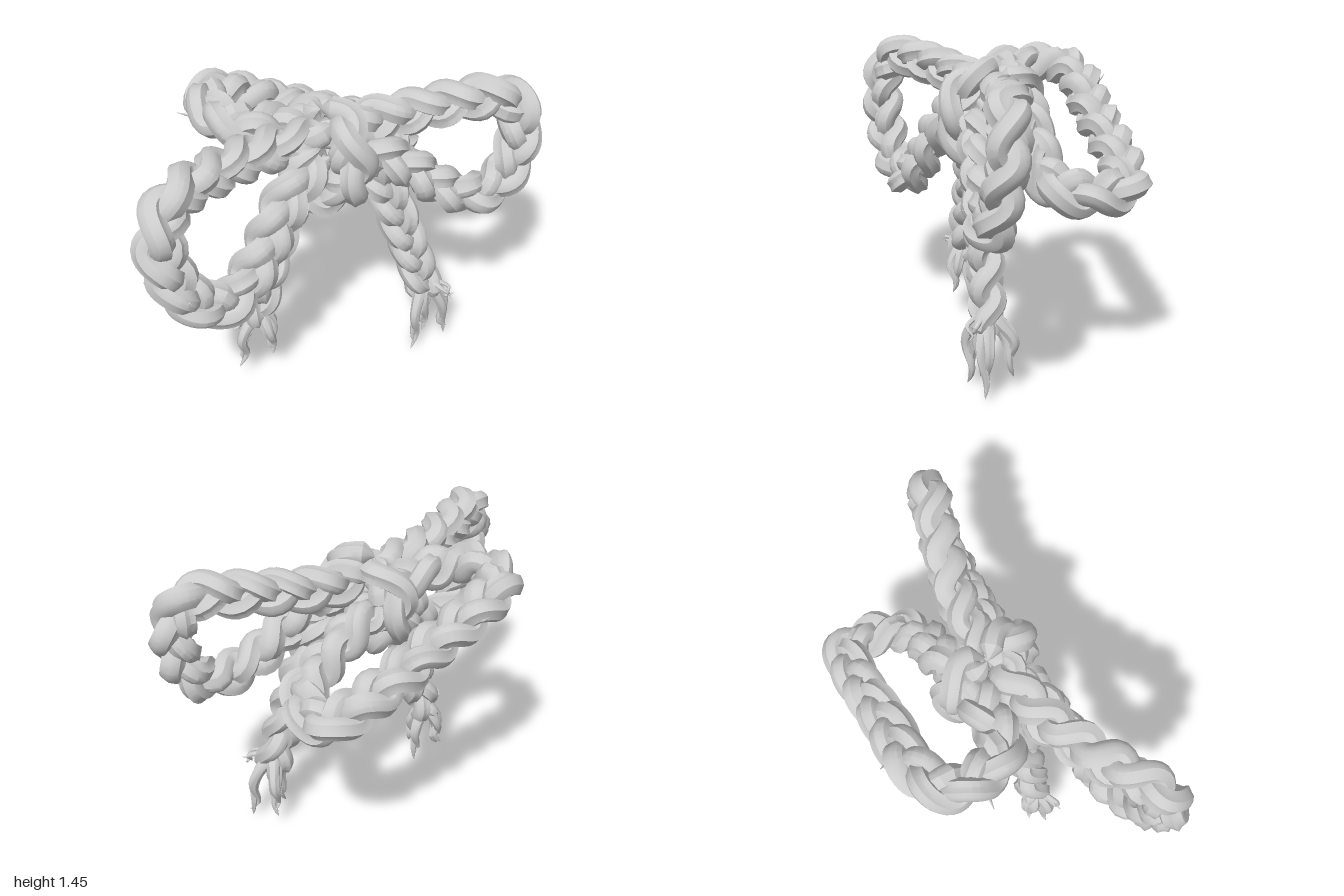
import * as THREE from 'three';
import { toCreasedNormals } from 'three/addons/utils/BufferGeometryUtils.js';

const material = new THREE.MeshStandardMaterial({ color: 0xcccccc, side: THREE.DoubleSide });
const SIDES = 14;
const V = (p) => new THREE.Vector3(...p);
const path = (pts, closed = false) =>
  new THREE.CatmullRomCurve3(pts.map(V), closed, 'centripetal');

// Tube with lengthwise ribs; radiusAt(t) sets its thickness along the path
function fibre(name, curve, steps, radiusAt, seed = 0) {
  const geo = new THREE.TubeGeometry(curve, steps, 1, SIDES, false);
  const pos = geo.attributes.position, nor = geo.attributes.normal;
  const dir = new THREE.Vector3();
  for (let j = 0; j <= steps; j++) {
    const t = j / steps, c = curve.getPointAt(t), r = radiusAt(t);
    for (let i = 0; i <= SIDES; i++) {
      const k = j * (SIDES + 1) + i, m = i % SIDES;
      const rib = (m % 2 ? 1.06 : 0.95) + 0.07 * Math.sin(m * 2.3 + seed + t * 9);
      dir.fromBufferAttribute(nor, k).multiplyScalar(r * rib).add(c);
      pos.setXYZ(k, dir.x, dir.y, dir.z);
    }
  }
  geo.computeVertexNormals();
  const mesh = new THREE.Mesh(toCreasedNormals(geo, 0.5), material);
  mesh.name = name;
  return mesh;
}

// Three strands plaited around a guide path
function braid(name, guide, { size = 0.97, endSize = size, pitch = 0.48 } = {}) {
  const group = new THREE.Group();
  group.name = name;
  const length = guide.getLength();
  const n = Math.ceil(length * 50);
  const turns = guide.closed ? Math.round(length / pitch) : length / pitch;
  const frames = guide.computeFrenetFrames(n, guide.closed);
  for (let s = 0; s < 3; s++) {
    const pts = [];
    for (let i = 0; i <= n; i++) {
      const t = i / n, k = THREE.MathUtils.lerp(size, endSize, t);
      const a = 2 * Math.PI * (turns * t + s / 3);
      pts.push(guide.getPointAt(t)
        .addScaledVector(frames.binormals[i], 0.055 * k * Math.sin(a))
        .addScaledVector(frames.normals[i], 0.042 * k * Math.sin(2 * a)));
    }
    const taper = (t) => Math.min(1, t * 25 + 0.02, (1 - t) * 25 + 0.02);
    group.add(fibre('strand', new THREE.CatmullRomCurve3(pts), Math.ceil(length * 65),
      (t) => 0.053 * THREE.MathUtils.lerp(size, endSize, t) * taper(t), s * 2));
  }
  return group;
}

// Loose tufts spreading from the end of a tail, each of two twisted points
function frayedEnd(start, tips) {
  const group = new THREE.Group();
  group.name = 'frayedEnd';
  const a = V(start);
  tips.forEach(([x, y, z, r = 0.034], i) => {
    const b = new THREE.Vector3(x, y, z);
    for (const side of [-1, 1]) {
      const bend = a.clone().lerp(b, 0.45);
      bend.x += (b.x - a.x) * 0.35 + side * 0.015;
      bend.z += (b.z - a.z) * 0.4 - side * 0.015;
      const kink = a.clone().lerp(b, 0.8);
      kink.x -= side * 0.012;
      const tip = b.clone().add(new THREE.Vector3(side * 0.008, side > 0 ? 0.04 : 0, 0));
      const curve = new THREE.CatmullRomCurve3([a, bend, kink, tip]);
      group.add(fibre('tuft', curve, 14,
        (t) => r * Math.min(1, 0.3 + t * 4) * Math.pow(1 - t, 0.6) + 0.001, i + side));
    }
  });
  return group;
}

export function createModel() {
  const model = new THREE.Group();
  model.name = 'braidedRopeBow';

  // Front bow loops
  model.add(braid('rightLoop', path([
    [0.02, 1.27, 0.12], [-0.3, 1.29, 0.14], [-0.6, 1.32, 0.26], [-0.83, 1.32, 0.39],
    [-0.9, 1.2, 0.44], [-0.86, 0.98, 0.44], [-0.76, 0.8, 0.42], [-0.6, 0.73, 0.38],
    [-0.45, 0.85, 0.33], [-0.3, 1.06, 0.26], [-0.08, 1.25, 0.17]])));
  model.add(braid('leftLoop', path([
    [-0.02, 1.27, 0.08], [0.3, 1.29, 0.1], [0.6, 1.33, 0.17], [0.8, 1.34, 0.23],
    [0.88, 1.24, 0.25], [0.87, 1.07, 0.27], [0.8, 0.92, 0.28], [0.68, 0.87, 0.28],
    [0.5, 0.94, 0.25], [0.3, 1.1, 0.21], [0.06, 1.22, 0.15]])));

  // Slanted ring at the back
  model.add(braid('backLoop', path([
    [0.02, 1.24, 0], [-0.18, 1.28, -0.05], [-0.38, 1.31, -0.06], [-0.44, 1.32, -0.16],
    [-0.43, 1.32, -0.35], [-0.3, 1.29, -0.42], [0, 1.15, -0.42], [0.38, 0.98, -0.42],
    [0.51, 0.92, -0.38], [0.49, 0.91, -0.15], [0.4, 0.94, -0.07], [0.17, 1.12, -0.06],
    [0, 1.22, -0.03]])));

  // Knot: a braid wrapped diagonally around the crossing, with a loose flap below
  const knot = new THREE.Group();
  knot.name = 'knot';
  knot.add(braid('knotWrap', path([
    [0.0, 1.33, 0.06], [0.03, 1.32, 0.19], [0.04, 1.2, 0.25], [0.04, 1.06, 0.22],
    [0.0, 1.0, 0.1], [-0.03, 1.07, -0.06], [-0.03, 1.24, -0.1]], true)));
  knot.add(fibre('knotFlap', path([
    [0.08, 1.08, 0.12], [0.02, 0.97, 0.15], [-0.05, 0.92, 0.14], [-0.13, 0.98, 0.12],
    [-0.12, 1.08, 0.1]]), 16, (t) => 0.045 * Math.sin(Math.PI * t) + 0.008));
  model.add(knot);

  // Hanging tails with frayed ends
  const rightTail = new THREE.Group();
  rightTail.name = 'rightTail';
  rightTail.add(braid('tailBraid', path([
    [-0.05, 1.2, 0.1], [-0.2, 1.0, 0.12], [-0.29, 0.74, 0.12], [-0.36, 0.5, 0.13],
    [-0.41, 0.32, 0.13]]), { endSize: 0.78 }));
  rightTail.add(frayedEnd([-0.39, 0.42, 0.13], [
    [-0.5, 0.1, 0.16], [-0.46, 0.17, 0.08], [-0.31, 0.1, 0.11], [-0.34, 0.16, 0.2],
    [-0.54, 0.38, 0.2, 0.014]]));
  model.add(rightTail);

  const leftTail = new THREE.Group();
  leftTail.name = 'leftTail';
  leftTail.add(braid('tailBraid', path([
    [0.06, 1.2, 0.14], [0.22, 1.0, 0.18], [0.32, 0.74, 0.21], [0.41, 0.48, 0.22],
    [0.47, 0.28, 0.23]]), { endSize: 0.85 }));
  leftTail.add(frayedEnd([0.45, 0.4, 0.23], [
    [0.37, 0.005, 0.3], [0.45, 0.07, 0.26], [0.51, 0.08, 0.12], [0.575, 0.02, 0.27],
    [0.56, 0.3, 0.34, 0.014]]));
  model.add(leftTail);

  // Stray wisps along the braids
  const wisps = [
    [[-0.9, 0.95, 0.47], [-0.82, 0.92, 0.55]], [[-0.47, 1.32, -0.2], [-0.6, 1.34, -0.23]],
    [[-0.2, 1.26, -0.47], [-0.21, 1.29, -0.55]], [[0.52, 0.92, 0.28], [0.55, 0.9, 0.36]]];
  for (const [a, b] of wisps) {
    const mid = V(a).lerp(V(b), 0.6).add(new THREE.Vector3(0.01, -0.015, 0));
    const curve = new THREE.CatmullRomCurve3([V(a), mid, V(b)]);
    model.add(fibre('wisp', curve, 6, (t) => 0.012 * (1 - t) + 0.001));
  }
  return model;
}
